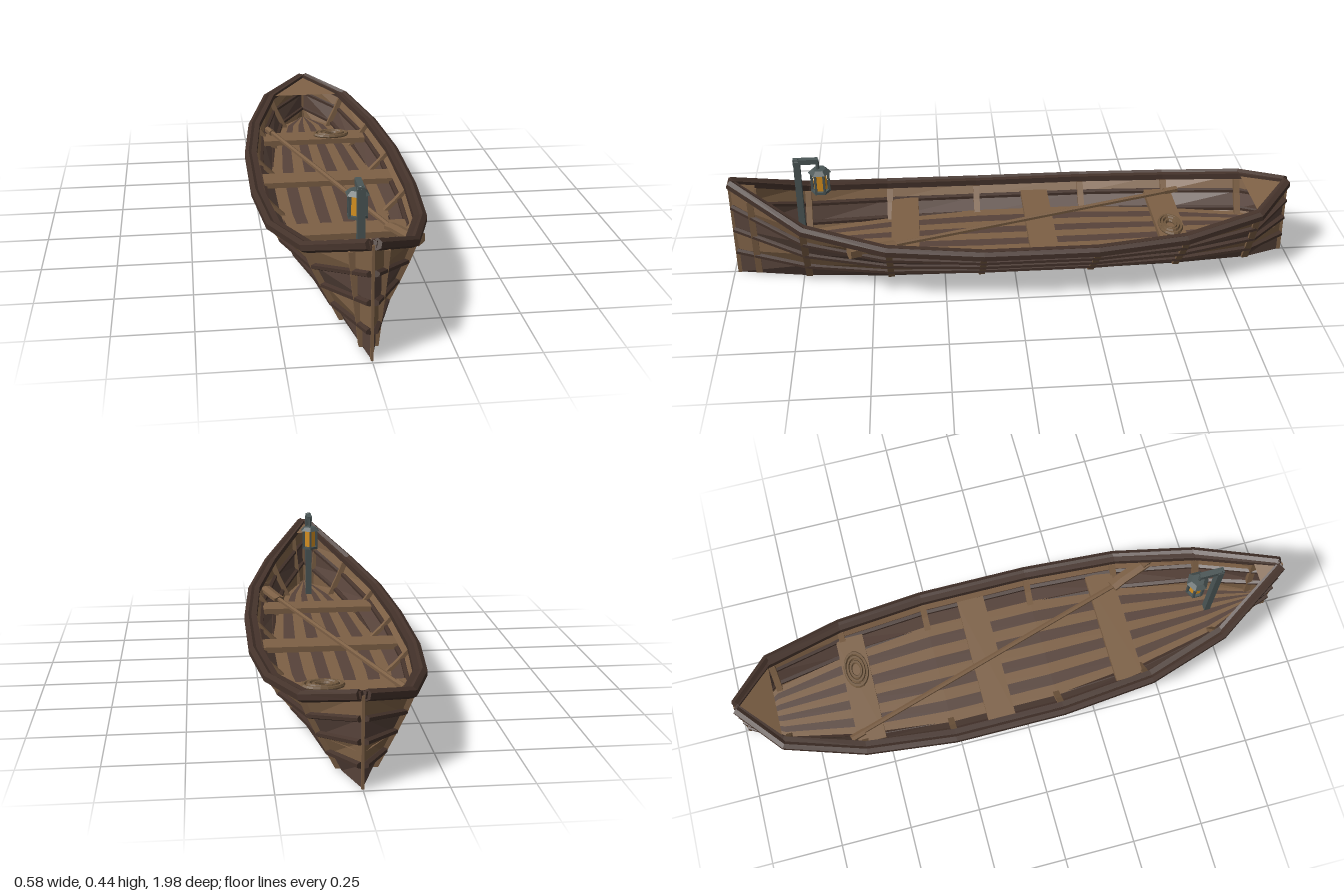
import * as THREE from 'three';

const mat = (name, color) => new THREE.MeshStandardMaterial({ name, color, flatShading: true, side: THREE.DoubleSide });
const M = {
  tan: mat('tanWood', 0x7d6045), dark: mat('darkWood', 0x57433a), trim: mat('trimWood', 0x45332b),
  iron: mat('iron', 0x4b5656), glow: mat('amberGlass', 0xd9921f), rope: mat('rope', 0x72593f),
};

// hull stations: z, half beam at the rail, rail height
const stations = [
  [-0.98, 0.004, 0.28], [-0.85, 0.155, 0.235], [-0.58, 0.235, 0.2], [-0.27, 0.268, 0.188],
  [0.12, 0.268, 0.188], [0.45, 0.24, 0.205], [0.73, 0.16, 0.25], [0.98, 0.004, 0.36],
];
const zs = stations.map(s => s[0]);
const flare = [0.29, 0.48, 0.67, 0.85, 1];
const lerp = THREE.MathUtils.lerp;

// point on the hull side at z and height fraction t, pushed out by off
function hullPoint(z, t, side = 1, off = 0) {
  let i = 0;
  while (i < stations.length - 2 && z > stations[i + 1][0]) i++;
  const [a, b] = [stations[i], stations[i + 1]];
  const k = (z - a[0]) / (b[0] - a[0]);
  const j = Math.min(3, Math.floor(t * 4));
  const w = lerp(a[1], b[1], k) * lerp(flare[j], flare[j + 1], t * 4 - j);
  return new THREE.Vector3(side * (w + off), lerp(a[2], b[2], k) * t, z);
}
const heightAt = z => hullPoint(z, 1).y;

// quad strip between two rows of points
function strip(rowA, rowB) {
  const pos = [], idx = [];
  rowA.forEach((p, i) => {
    pos.push(...p.toArray(), ...rowB[i].toArray());
    if (i) idx.push(2 * i - 2, 2 * i, 2 * i - 1, 2 * i - 1, 2 * i, 2 * i + 1);
  });
  const g = new THREE.BufferGeometry();
  g.setAttribute('position', new THREE.Float32BufferAttribute(pos, 3));
  g.setIndex(idx);
  g.computeVertexNormals();
  return g;
}

// beam with an n-sided section (rx across, ry up) along a polyline
function beam(pts, rx, ry, n = 6) {
  const pos = [], idx = [];
  const up = new THREE.Vector3(0, 1, 0);
  pts.forEach((p, i) => {
    const t = pts[Math.min(i + 1, pts.length - 1)].clone().sub(pts[Math.max(i - 1, 0)]).normalize();
    const s = new THREE.Vector3().crossVectors(t, up).normalize();
    const u = new THREE.Vector3().crossVectors(s, t);
    for (let k = 0; k < n; k++) {
      const a = (k + 0.5) / n * Math.PI * 2;
      pos.push(...p.clone().addScaledVector(s, Math.cos(a) * rx).addScaledVector(u, Math.sin(a) * ry).toArray());
      if (i) {
        const c = i * n + k, d = i * n + (k + 1) % n;
        idx.push(c - n, c, d - n, d - n, c, d);
      }
    }
  });
  const e = (pts.length - 1) * n;
  for (let k = 1; k < n - 1; k++) idx.push(0, k, k + 1, e, e + k + 1, e + k);
  const g = new THREE.BufferGeometry();
  g.setAttribute('position', new THREE.Float32BufferAttribute(pos, 3));
  g.setIndex(idx);
  g.computeVertexNormals();
  return g;
}

export function createModel() {
  const boat = new THREE.Group();
  boat.name = 'rowingBoat';
  const add = (name, geo, material, x = 0, y = 0, z = 0, parent = boat) => {
    const m = new THREE.Mesh(geo, material);
    m.name = name;
    m.position.set(x, y, z);
    parent.add(m);
    return m;
  };
  const row = (t, side, off = 0) => zs.map(z => hullPoint(z, t, side, off));
  const v = (x, y, z) => new THREE.Vector3(x, y, z);

  // hull strakes, stringers and rails, mirrored
  for (const side of [1, -1]) {
    for (let j = 0; j < 4; j++) {
      add('hullStrake', strip(row(j / 4, side), row((j + 1) / 4, side)), j % 2 ? M.tan : M.dark);
      if (j) add('stringer', beam(row(j / 4, side, 0.005), 0.013, 0.01), M.trim);
    }
    const outer = row(1, side, 0.006), inner = row(1, side, -0.014);
    inner[0].x = inner[zs.length - 1].x = 0;
    add('outerRail', beam(outer, 0.017, 0.018), M.trim);
    add('innerRail', beam(inner.map(p => p.setY(p.y + 0.002)), 0.014, 0.015, 4), M.trim);

    // ribs run through the planking and show on both faces
    for (const z of [-0.84, -0.58, -0.27, 0.12, 0.44, 0.73, 0.91]) {
      const w = 0.011;
      const line = off => [0.03, 0.25, 0.5, 0.75, 0.95].map(t => hullPoint(z, t, side, off));
      const shift = (pts, d) => pts.map(p => p.clone().setZ(p.z + d));
      const out = line(0.014), inn = line(z > 0.9 ? -0.005 : -0.018);
      const corners = [shift(out, -w), shift(out, w), shift(inn, w), shift(inn, -w)];
      corners.forEach((c, i) => add('rib', strip(c, corners[(i + 1) % 4]), M.tan));
      for (const e of [0, 4]) {
        add('ribEnd', strip([corners[0][e], corners[1][e]], [corners[3][e], corners[2][e]]), M.tan);
      }
    }
  }
  add('hullBottom', strip(row(0, 1), row(0, -1)), M.dark);

  // stem and stern posts
  add('stemPost', new THREE.BoxGeometry(0.008, 0.36, 0.014), M.tan, 0, 0.18, 0.981);
  add('sternPost', new THREE.BoxGeometry(0.008, 0.28, 0.014), M.tan, 0, 0.14, -0.981);

  // end decks
  const deck = (z0, z1) => strip(
    [hullPoint(z0, 1, 1), hullPoint(z1, 1, 1)], [hullPoint(z0, 1, -1), hullPoint(z1, 1, -1)]);
  add('sternDeck', deck(-0.98, -0.85), M.tan, 0, 0.004, 0);
  add('bowDeck', deck(0.9, 0.98), M.tan, 0, 0.004, 0);

  // floor boards narrowing with the hull
  const floorY = 0.105, boards = 9;
  const floorZ = [-0.96, ...zs.slice(1, -1), 0.96];
  const floorRow = f => floorZ.map(z => {
    const p = hullPoint(z, floorY / heightAt(z));
    return v((p.x - 0.002) * f, floorY, z);
  });
  for (let i = 0; i < boards; i++) {
    add('floorBoard', strip(floorRow(2 * i / boards - 1), floorRow(2 * (i + 1) / boards - 1)), i % 2 ? M.dark : M.tan);
  }

  // seats
  for (const [z, half] of [[-0.555, 0.2], [-0.095, 0.232], [0.385, 0.208]]) {
    add('seat', new THREE.BoxGeometry(half * 2, 0.02, 0.098), M.tan, 0, 0.148, z);
  }

  // oar lying across the seats
  add('oarShaft', beam([v(-0.165, 0.168, -0.59), v(0.145, 0.172, 0.43)], 0.009, 0.009), M.tan);
  add('oarGrip', beam([v(-0.178, 0.168, -0.625), v(-0.163, 0.168, -0.575)], 0.013, 0.013), M.tan);
  add('oarBlade', beam([v(0.142, 0.172, 0.42), v(0.16, 0.177, 0.46), v(0.197, 0.186, 0.565)], 0.024, 0.012), M.tan);
  add('oarTip', beam([v(0.195, 0.188, 0.54), v(0.21, 0.19, 0.575)], 0.026, 0.026), M.tan);

  // coiled rope on the stern seat
  const coil = new THREE.Group();
  coil.name = 'ropeCoil';
  coil.position.set(0.07, 0.163, -0.555);
  coil.scale.set(1, 1, 0.62);
  boat.add(coil);
  [[0.063, 0], [0.046, 0.003], [0.03, 0]].forEach(([r, y]) => {
    add('ropeLoop', new THREE.TorusGeometry(r, 0.008, 6, 18).rotateX(Math.PI / 2), M.rope, 0, y, 0, coil);
  });

  // lantern on its post
  const lantern = new THREE.Group();
  lantern.name = 'lantern';
  boat.add(lantern);
  const iron = (name, geo, x, y, z) => add(name, geo, M.iron, x, y, z, lantern);
  iron('lanternPost', new THREE.BoxGeometry(0.024, 0.33, 0.022), 0, 0.27, 0.745);
  iron('lanternArm', new THREE.BoxGeometry(0.02, 0.018, 0.085), 0, 0.434, 0.715);
  iron('lanternPostCap', new THREE.CylinderGeometry(0.008, 0.014, 0.01, 6), 0, 0.44, 0.745);
  iron('lanternHook', new THREE.CylinderGeometry(0.006, 0.006, 0.045, 6), 0, 0.415, 0.675);
  iron('lanternCap', new THREE.CylinderGeometry(0.024, 0.04, 0.014, 6), 0, 0.397, 0.67);
  iron('lanternBase', new THREE.CylinderGeometry(0.034, 0.034, 0.009, 6), 0, 0.32, 0.67);
  add('lanternGlass', new THREE.CylinderGeometry(0.023, 0.023, 0.07, 6), M.glow, 0, 0.357, 0.67, lantern);
  for (let i = 0; i < 6; i++) {
    const a = i / 6 * Math.PI * 2;
    iron('lanternBar', new THREE.BoxGeometry(0.008, 0.072, 0.008), Math.sin(a) * 0.029, 0.357, 0.67 + Math.cos(a) * 0.029);
  }
  return boat;
}
